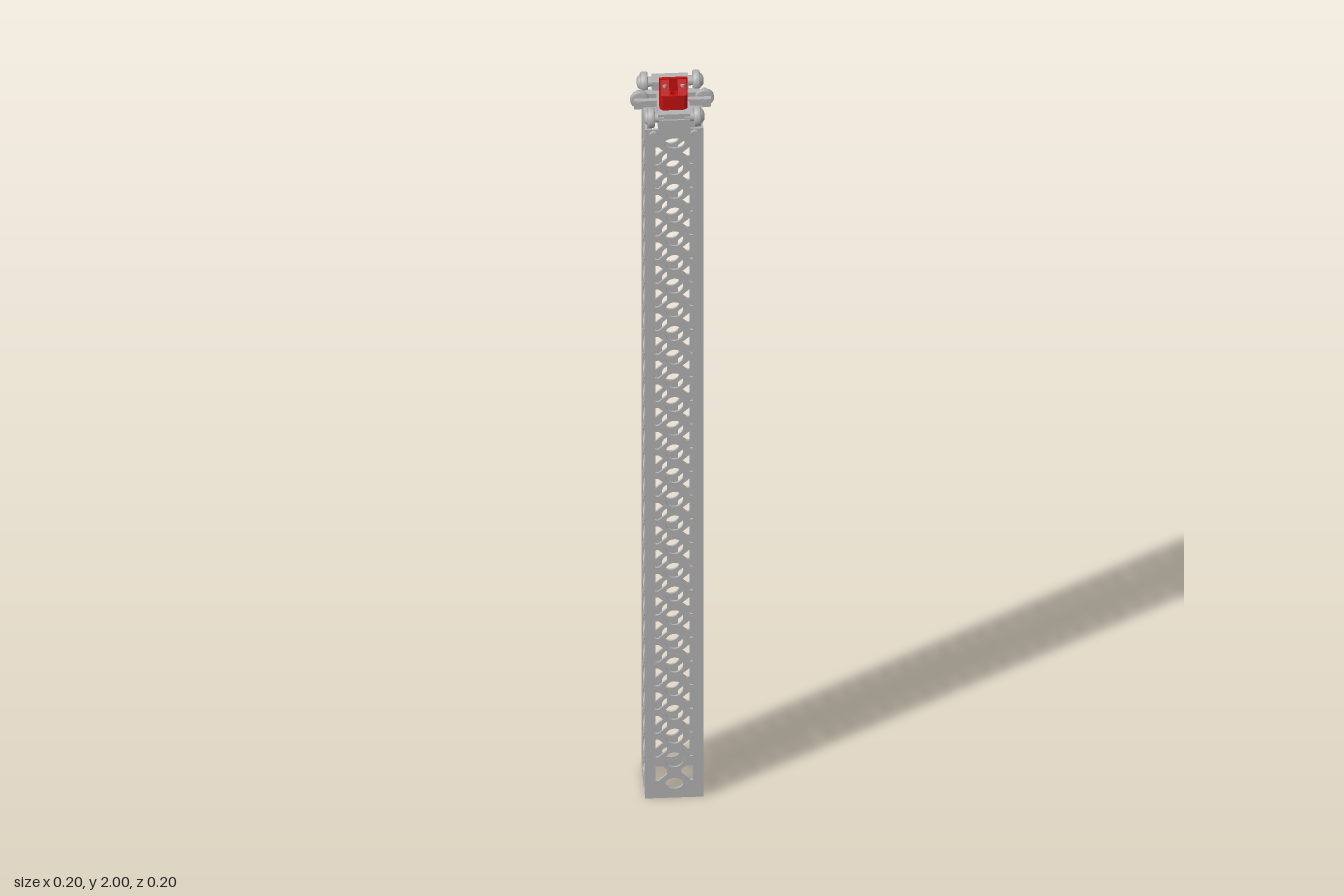
import * as THREE from 'three';

const grey = new THREE.MeshStandardMaterial({ color: 0xb2b2b2 });
grey.name = 'aluminium grey';
const red = new THREE.MeshStandardMaterial({ color: 0xc41010 });
red.name = 'hook red';

const TUBE_H = 1.885, HALF = 0.068, WALL = 0.005, TUBE_Z = 0.016;
const PITCH = 0.0668, FIRST = 0.073, ROWS = 27;

function createMesh(parent, name, geometry, material = grey) {
  const mesh = new THREE.Mesh(geometry, material);
  mesh.name = name;
  parent.add(mesh);
  return mesh;
}

function polygon(points, Type = THREE.Shape) {
  return new Type(points.map(([x, y]) => new THREE.Vector2(x, y)));
}

function ellipse(x, y, rx, ry = rx) {
  const path = new THREE.Path();
  path.absellipse(x, y, rx, ry, 0, Math.PI * 2, true);
  return path;
}

// Perforated wall in the XY plane, with side triangles and round centre holes
function wallGeometry(half, isSide) {
  const shape = polygon([[-half, 0], [half, 0], [half, TUBE_H], [-half, TUBE_H]]);
  for (let i = 0; i < ROWS; i++) {
    const y = FIRST + i * PITCH;
    for (const s of [-1, 1]) {
      shape.holes.push(polygon([
        [s * 0.044, y - 0.025], [s * 0.037, y - 0.025], [s * 0.017, y - 0.007],
        [s * 0.017, y + 0.007], [s * 0.037, y + 0.025], [s * 0.044, y + 0.025],
      ], THREE.Path));
    }
    if (i < ROWS - 1) shape.holes.push(ellipse(0, y + PITCH / 2, 0.021));
  }
  shape.holes.push(ellipse(0, 0.04, 0.021, 0.015));
  if (isSide) {
    for (const s of [-1, 1]) shape.holes.push(ellipse(s * 0.046, 0.016, 0.01));
  } else {
    shape.holes.push(ellipse(0, 1.845, 0.024, 0.014));
  }
  return new THREE.ExtrudeGeometry(shape, { depth: WALL, bevelEnabled: false, curveSegments: 14 });
}

// Horizontal slab from an outline in x and z
function slab(shape, bottom, top) {
  return new THREE.ExtrudeGeometry(shape, { depth: top - bottom, bevelEnabled: false, curveSegments: 14 })
    .rotateX(Math.PI / 2).translate(0, top, 0);
}

function box(x0, x1, y0, y1, z0, z1) {
  return new THREE.BoxGeometry(x1 - x0, y1 - y0, z1 - z0)
    .translate((x0 + x1) / 2, (y0 + y1) / 2, (z0 + z1) / 2);
}

// Rounded wheel with protruding axle cap, axis along +y before turning
function makeWheel(name, radius, width, cap) {
  const wheel = new THREE.Group();
  wheel.name = name;
  const w = width / 2, b = 0.003;
  const rim = [[0, -w], [radius - b, -w], [radius, -w + b], [radius, w - b], [radius - b, w], [0, w]];
  createMesh(wheel, 'wheelRim', new THREE.LatheGeometry(rim.map(p => new THREE.Vector2(...p)), 28));
  const hub = [[radius * 0.68, w], [radius * 0.6, w + cap * 0.6], [radius * 0.38, w + cap], [0, w + cap]];
  createMesh(wheel, 'axleCap', new THREE.LatheGeometry(hub.map(p => new THREE.Vector2(...p)), 20));
  return wheel;
}

export function createModel() {
  const model = new THREE.Group();
  model.name = 'perforatedTubeWithHook';

  // Square lattice tube
  const tube = new THREE.Group();
  tube.name = 'latticeTube';
  tube.position.z = TUBE_Z;
  model.add(tube);
  for (let i = 0; i < 4; i++) {
    const isSide = i % 2 === 1;
    const half = isSide ? HALF - WALL : HALF;
    const wall = createMesh(tube, ['frontWall', 'leftWall', 'backWall', 'rightWall'][i],
      wallGeometry(half, isSide).translate(0, 0, HALF - WALL));
    wall.rotation.y = i * Math.PI / 2;
  }

  // Carriage plate with its central opening and cord hole
  const carriage = new THREE.Group();
  carriage.name = 'carriage';
  model.add(carriage);
  const plate = polygon([
    [-0.042, -0.086], [0.042, -0.086], [0.042, -0.054], [0.069, -0.054], [0.069, 0.048],
    [0.038, 0.055], [0.038, 0.082], [-0.038, 0.082], [-0.038, 0.055], [-0.069, 0.048],
    [-0.069, -0.054], [-0.042, -0.054],
  ]);
  plate.holes.push(polygon([
    [-0.027, -0.019], [-0.019, -0.027], [0.019, -0.027], [0.027, -0.019],
    [0.025, -0.005], [0.011, 0.011], [-0.011, 0.011], [-0.025, -0.005],
  ], THREE.Path));
  plate.holes.push(ellipse(0, 0.052, 0.007));
  createMesh(carriage, 'topPlate', slab(plate, 1.885, 1.905));

  // Axle housings at both ends and the front apron
  createMesh(carriage, 'backHousing', box(-0.042, 0.042, 1.893, 1.927, -0.087, -0.05));
  const front = polygon([[-0.038, 0.03], [0.038, 0.03], [0.038, 0.083], [-0.038, 0.083]]);
  front.holes.push(ellipse(0, 0.052, 0.007));
  createMesh(carriage, 'frontHousing', slab(front, 1.9, 1.926));
  createMesh(carriage, 'frontApron', box(-0.036, 0.036, 1.862, 1.912, 0.083, 0.087));

  for (const s of [-1, 1]) {
    const side = s > 0 ? 'left' : 'right';

    // Wheels on the end axles
    for (const [end, x, z] of [['Front', 0.054, 0.073], ['Back', 0.061, -0.075]]) {
      const wheel = makeWheel(side + end + 'Wheel', 0.0245, 0.017, 0.008);
      wheel.position.set(s * x, 1.913, z);
      wheel.rotation.z = -s * Math.PI / 2;
      carriage.add(wheel);
      createMesh(carriage, side + end + 'Axle', new THREE.CylinderGeometry(0.012, 0.012, 0.03, 16)
        .rotateZ(Math.PI / 2).translate(s * (x - 0.015), 1.913, z));
    }

    // Side roller held in a fork
    const roller = makeWheel(side + 'Roller', 0.022, 0.013, 0.002);
    roller.position.set(s * 0.076, 1.914, -0.002);
    roller.rotation.x = -Math.PI / 2;
    carriage.add(roller);
    for (const f of [-1, 1]) {
      const z = -0.002 + f * 0.0145;
      const arm = polygon([
        [s * 0.036, z - 0.006], [s * 0.09, z - 0.006], [s * 0.09, z + 0.006], [s * 0.036, z + 0.006],
      ]);
      createMesh(carriage, side + 'ForkArm', slab(arm, 1.9, 1.922));
    }
    createMesh(carriage, side + 'RollerBolt', new THREE.CylinderGeometry(0.007, 0.007, 0.052, 14)
      .rotateX(Math.PI / 2).translate(s * 0.077, 1.914, -0.006));

    // Bolts through the upper tube corners
    for (const [end, z] of [['Front', 0.087], ['Back', -0.055]]) {
      createMesh(carriage, side + end + 'Bolt', new THREE.CylinderGeometry(0.011, 0.011, 0.008, 16)
        .rotateX(Math.PI / 2).translate(s * 0.048, 1.871, z));
    }
  }

  // Red hook: chamfered base, back wall and two sloping cheeks
  const hook = new THREE.Group();
  hook.name = 'hook';
  model.add(hook);
  const base = polygon([
    [-0.026, 0.033], [0.026, 0.033], [0.033, 0.04], [0.033, 0.057],
    [0.025, 0.065], [-0.025, 0.065], [-0.033, 0.057], [-0.033, 0.04],
  ]);
  base.holes.push(ellipse(0, 0.052, 0.007));
  createMesh(hook, 'hookBase', slab(base, 1.926, 1.965), red);
  createMesh(hook, 'hookBackWall', box(-0.033, 0.033, 1.94, 2.0, 0.036, 0.043), red);
  const cheek = polygon([[-0.063, 1.965], [-0.04, 1.965], [-0.04, 1.998], [-0.044, 1.998]]);
  for (const s of [-1, 1]) {
    createMesh(hook, 'hookCheek', new THREE.ExtrudeGeometry(cheek, { depth: 0.02, bevelEnabled: false })
      .rotateY(Math.PI / 2).translate(s * 0.02 - 0.01, 0, 0), red);
    createMesh(hook, 'hookScrew', new THREE.CylinderGeometry(0.005, 0.005, 0.034, 12)
      .translate(s * 0.021, 1.971, 0.049));
  }

  return model;
}
